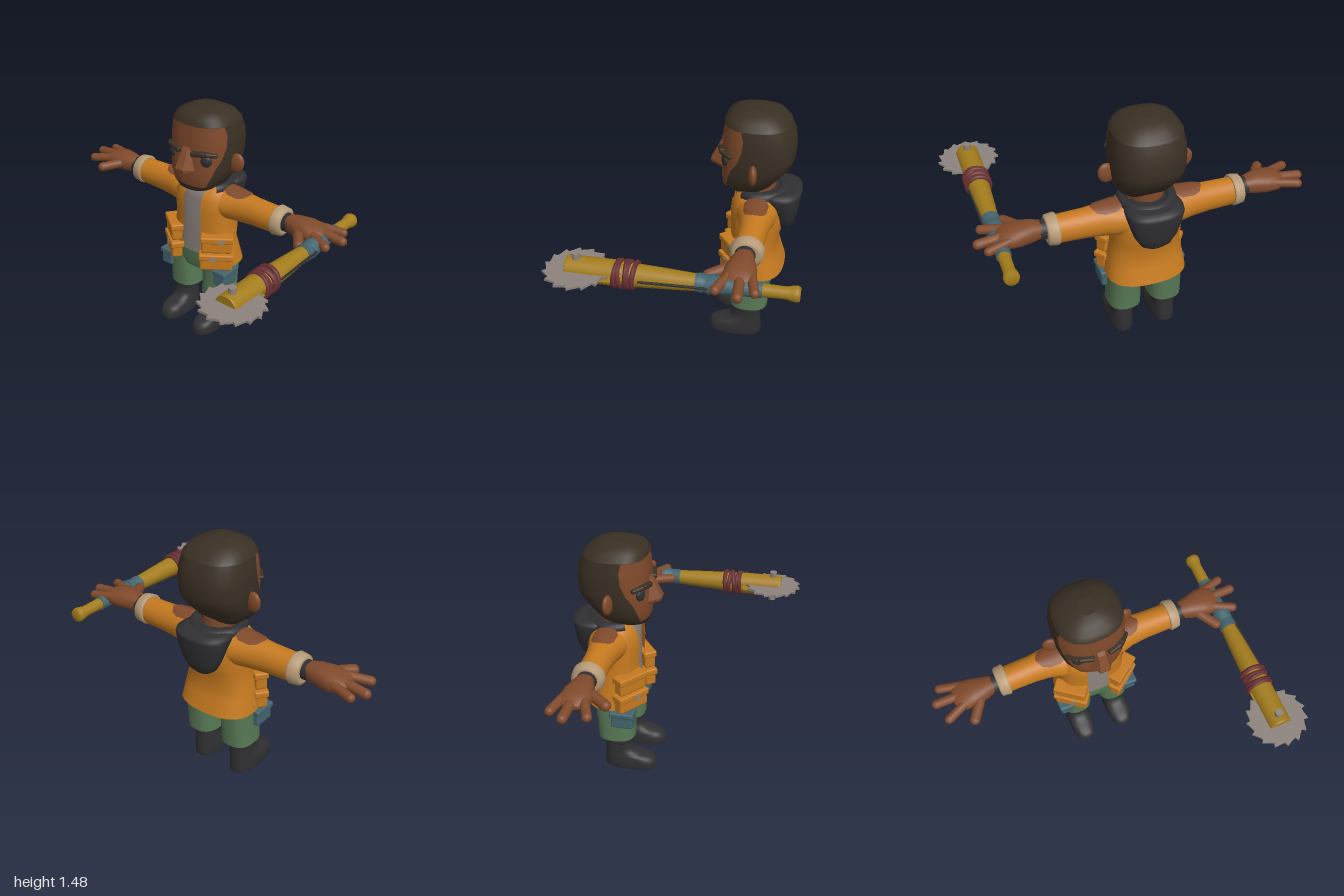
import * as THREE from 'three';
import { RoundedBoxGeometry } from 'three/addons/geometries/RoundedBoxGeometry.js';
import { ConvexGeometry } from 'three/addons/geometries/ConvexGeometry.js';

const material = (name, color, side = THREE.FrontSide) => {
  const m = new THREE.MeshStandardMaterial({ color, side });
  m.name = name;
  return m;
};
const V = (x, y, z) => new THREE.Vector3(x, y, z);
const curvePow = (v, p) => Math.sign(v) * Math.abs(v) ** p;

// Joins rounded cross-sections. Ring: [height, zFront, zBack, halfWidth, angle for the angles() rule]
function loft(rings, { p = 0.8, n = 36, open = false, angles = j => (j / n) * Math.PI * 2, paint = () => 0 } = {}) {
  const pos = [], sets = [[], []], cols = open ? n + 1 : n;
  const addRing = r => {
    for (let j = 0; j < cols; j++) {
      const a = angles(j, r);
      pos.push(r[3] * curvePow(Math.sin(a), p), r[0], (r[1] + r[2]) / 2 + ((r[1] - r[2]) / 2) * curvePow(Math.cos(a), p));
    }
  };
  rings.forEach(addRing);
  for (let i = 0; i < rings.length - 1; i++) for (let j = 0; j < n; j++) {
    const a = i * cols + j, b = i * cols + (j + 1) % cols, c = b + cols, d = a + cols;
    sets[paint(i, j)].push(a, b, c, a, c, d);
  }
  if (!open) [rings[0], rings[rings.length - 1]].forEach((r, top) => {
    const base = pos.length / 3;
    addRing(r);
    pos.push(0, r[0], (r[1] + r[2]) / 2);
    for (let j = 0; j < n; j++) {
      const k = base + (j + 1) % n;
      sets[0].push(base + n, top ? base + j : k, top ? k : base + j);
    }
  });
  const g = new THREE.BufferGeometry();
  g.setAttribute('position', new THREE.Float32BufferAttribute(pos, 3));
  g.setIndex([...sets[0], ...sets[1]]);
  g.addGroup(0, sets[0].length, 0);
  if (sets[1].length) g.addGroup(sets[0].length, sets[1].length, 1);
  g.computeVertexNormals();
  return g;
}

export function createModel() {
  const skin = material('skin', 0x804a2b), hair = material('hair', 0x3a3024), black = material('black', 0x303033);
  const orange = material('jacketOrange', 0xc67a1f, THREE.DoubleSide), green = material('trouserGreen', 0x587a56);
  const teal = material('teal', 0x44656f), grey = material('grey', 0x8d837e), gold = material('goldWood', 0xa37c1c);
  const maroon = material('ropeMaroon', 0x6a2f33), tan = material('cuffTan', 0xb59a76);

  const model = new THREE.Group();
  const body = new THREE.Group();
  body.name = 'body';
  body.position.x = -0.02;
  model.add(body);
  const add = (parent, name, geo, mat, x = 0, y = 0, z = 0, rx = 0, ry = 0, rz = 0) => {
    const m = new THREE.Mesh(geo, mat);
    m.name = name;
    m.position.set(x, y, z);
    m.rotation.set(rx, ry, rz);
    parent.add(m);
    return m;
  };
  const box = (w, h, d, r = 0.01) => new RoundedBoxGeometry(w, h, d, 2, r);
  const rod = (r, h, n = 24) => new THREE.CylinderGeometry(r, r, h, n);

  // Head: hair and beard wrap around a face area, fifth value is the face's half angle
  const headRings = [
    [0.975, -0.19, -0.36, 0.06, 0.8], [0.987, -0.15, -0.4, 0.115, 0.8], [1.02, -0.14, -0.43, 0.157, 0.8],
    [1.08, -0.135, -0.48, 0.188, 0.85], [1.15, -0.135, -0.54, 0.203, 0.95], [1.2, -0.138, -0.553, 0.206, 1.12],
    [1.27, -0.14, -0.556, 0.207, 1.25], [1.34, -0.142, -0.545, 0.202, 1.3], [1.395, -0.15, -0.52, 0.19, 1.25],
    [1.4, -0.145, -0.52, 0.192, 1.25], [1.437, -0.165, -0.485, 0.165, 1.25], [1.463, -0.21, -0.43, 0.11, 1.25],
    [1.476, -0.27, -0.37, 0.05, 1.25]];
  add(body, 'head', loft(headRings, {
    n: 40,
    angles: (j, r) => {
      const s = j <= 20 ? j : j - 40, k = Math.abs(s);
      return Math.sign(s) * (k <= 12 ? (r[4] * k) / 12 : r[4] + ((Math.PI - r[4]) * (k - 12)) / 8);
    },
    paint: (i, j) => (i >= 2 && i < 8 && (j < 12 || j >= 28) ? 1 : 0)
  }), [hair, skin]);
  add(body, 'neck', rod(0.1, 0.14), skin, 0, 0.97, -0.35);
  const nosePoints = [];
  for (const s of [-1, 1]) nosePoints.push(V(s * 0.024, 1.27, -0.15), V(s * 0.02, 1.24, -0.12), V(s * 0.066, 1.125, -0.14),
    V(s * 0.03, 1.14, -0.07), V(s * 0.03, 1.12, -0.075), V(s * 0.055, 1.105, -0.135), V(s * 0.055, 1.12, -0.17));
  add(body, 'nose', new ConvexGeometry(nosePoints), skin);

  // Torso
  add(body, 'shirt', loft([[0.49, -0.215, -0.45, 0.19], [0.63, -0.215, -0.45, 0.17], [0.9, -0.215, -0.47, 0.17],
    [0.95, -0.25, -0.45, 0.14], [0.975, -0.28, -0.43, 0.1]]), grey);
  add(body, 'jacket', loft([[0.455, -0.185, -0.528, 0.24, 0.3], [0.55, -0.19, -0.497, 0.225, 0.27], [0.63, -0.195, -0.477, 0.208, 0.25],
    [0.73, -0.2, -0.5, 0.2, 0.25], [0.83, -0.193, -0.515, 0.202, 0.25], [0.91, -0.2, -0.505, 0.2, 0.26],
    [0.955, -0.23, -0.475, 0.175, 0.32], [0.978, -0.265, -0.44, 0.125, 0.5]],
  { open: true, n: 44, angles: (j, r) => r[4] + (2 * Math.PI - 2 * r[4]) * (j / 44) }), orange);
  add(body, 'hips', loft([[0.4, -0.23, -0.46, 0.2], [0.45, -0.215, -0.468, 0.214], [0.525, -0.21, -0.46, 0.2]]), green);

  // Hood and collar
  add(body, 'hood', loft([[0.73, -0.47, -0.54, 0.05], [0.76, -0.45, -0.565, 0.09], [0.82, -0.43, -0.582, 0.125],
    [0.9, -0.4, -0.594, 0.15], [0.96, -0.37, -0.602, 0.165], [0.982, -0.36, -0.6, 0.16], [0.99, -0.38, -0.56, 0.13]]), black);
  const arc = Math.PI * 1.4;
  const collar = new THREE.TorusGeometry(0.135, 0.034, 10, 32, arc);
  collar.rotateZ(Math.PI / 2 + Math.PI - arc / 2).rotateX(Math.PI / 2);
  add(body, 'collar', collar, black, 0, 0.968, -0.36);

  // Everything that comes in pairs
  const sleeveRings = [[0.1, -0.235, -0.485, 0.105], [0.19, -0.25, -0.472, 0.1], [0.26, -0.272, -0.452, 0.096],
    [0.36, -0.282, -0.44, 0.088], [0.53, -0.283, -0.437, 0.082]];
  for (const s of [1, -1]) {
    const side = new THREE.Group();
    side.name = s > 0 ? 'leftSide' : 'rightSide';
    side.scale.x = s;
    body.add(side);

    // Face details
    add(side, 'ear', new THREE.SphereGeometry(1, 20, 14), skin, 0.222, 1.158, -0.335, 0, 0.15, -0.25).scale.set(0.05, 0.062, 0.024);
    add(side, 'eye', new THREE.SphereGeometry(1, 20, 14), black, 0.128, 1.195, -0.167, 0, 0.45, 0).scale.set(0.034, 0.036, 0.018);
    add(side, 'eyebrow', box(0.09, 0.03, 0.04), hair, 0.085, 1.238, -0.143, 0, 0.25, 0.12);
    add(side, 'eyebrowEnd', box(0.08, 0.026, 0.04), hair, 0.15, 1.238, -0.18, 0, 0.85, -0.15);

    // Arm
    const alongX = g => g.rotateZ(-Math.PI / 2);
    add(side, 'sleeve', alongX(loft(sleeveRings, { p: 1 })), orange, 0, 0.873, 0);
    const patchRings = [[0.15, 0.4], [0.19, 0.7], [0.26, 0.75], [0.3, 0.6], [0.325, 0.12]].map(([x, w]) => {
      const k = (x - 0.1) / 0.26;
      return [x, -0.235 - 0.047 * k, -0.485 + 0.045 * k, 0.115 - 0.017 * k, w];
    });
    add(side, 'shoulderPatch', alongX(loft(patchRings, { p: 1, n: 14, open: true, angles: (j, r) => -Math.PI / 2 + r[4] * (j / 7 - 1) })),
      skin, 0, 0.873, 0);
    add(side, 'cuff', alongX(loft([[0.515, -0.272, -0.448, 0.086], [0.525, -0.266, -0.454, 0.092], [0.572, -0.272, -0.448, 0.086],
      [0.58, -0.29, -0.43, 0.07]], { p: 1 })), tan, 0, 0.878, 0);
    add(side, 'wristband', alongX(rod(0.056, 0.05)), black, 0.592, 0.886, -0.355);
    add(side, 'palm', alongX(loft([[0.6, -0.305, -0.405, 0.048], [0.66, -0.285, -0.42, 0.06], [0.73, -0.268, -0.438, 0.062],
      [0.79, -0.265, -0.445, 0.05], [0.83, -0.285, -0.43, 0.035], [0.85, -0.32, -0.4, 0.015]], { p: 0.9 })), skin, 0, 0.892, 0);
    const finger = (name, a, b, r) => {
      const d = b.clone().sub(a), mid = a.clone().add(b).multiplyScalar(0.5);
      const m = add(side, name, new THREE.CapsuleGeometry(r, d.length(), 6, 14), skin, mid.x, mid.y, mid.z);
      m.quaternion.setFromUnitVectors(V(0, 1, 0), d.normalize());
    };
    finger('backFinger', V(0.76, 0.905, -0.41), V(0.905, 0.893, -0.448), 0.026);
    finger('middleFinger', V(0.78, 0.905, -0.36), V(0.948, 0.888, -0.367), 0.028);
    finger('frontFinger', V(0.77, 0.905, -0.31), V(0.91, 0.888, -0.25), 0.027);
    finger('thumb', V(0.7, 0.89, -0.3), V(0.775, 0.875, -0.193), 0.03);

    // Jacket pockets with flaps and small tags
    for (const [y, w] of [[0.632, 0.19], [0.51, 0.205]]) {
      const pocket = new THREE.Group();
      pocket.name = 'jacketPocket';
      pocket.position.set(0.172, y, -0.232);
      pocket.rotation.y = 0.65;
      side.add(pocket);
      add(pocket, 'pouch', box(w, 0.11, 0.07, 0.015), orange);
      add(pocket, 'flap', box(w + 0.012, 0.042, 0.086), orange, 0, 0.037, 0);
      if (s > 0 || y < 0.6) add(pocket, 'tag', new THREE.BoxGeometry(0.042, 0.024, 0.008), grey, y > 0.6 ? 0.03 : -0.02, 0.032, 0.043);
    }

    // Leg, thigh pouch and boot
    const leg = loft([[0.22, -0.222, -0.448, 0.1], [0.35, -0.218, -0.455, 0.099], [0.45, -0.215, -0.465, 0.1]]);
    add(side, 'trouserLeg', leg, green, 0.128, 0, 0);
    add(side, 'thighPouch', box(0.085, 0.1, 0.135, 0.012), teal, 0.215, 0.395, -0.272);
    add(side, 'pouchFlap', box(0.1, 0.036, 0.15), teal, 0.216, 0.437, -0.272);
    add(side, 'boot', loft([[0, -0.092, -0.412, 0.072], [0.015, -0.086, -0.416, 0.077], [0.05, -0.09, -0.415, 0.077],
      [0.075, -0.11, -0.413, 0.074], [0.092, -0.165, -0.412, 0.07], [0.108, -0.215, -0.41, 0.066],
      [0.14, -0.242, -0.407, 0.064], [0.22, -0.245, -0.4, 0.066]]), black, 0.135, 0, 0);
    add(side, 'bootCuff', loft([[0.178, -0.242, -0.405, 0.068], [0.184, -0.236, -0.41, 0.073], [0.212, -0.236, -0.41, 0.073],
      [0.222, -0.24, -0.405, 0.07]]), black, 0.135, 0, 0);
  }

  // Hand saw club lying along z
  const club = new THREE.Group();
  club.name = 'sawClub';
  club.position.set(0.815, 0.865, 0);
  model.add(club);
  const alongZ = g => g.rotateX(Math.PI / 2);
  const profile = [[0, -0.67], [0.036, -0.67], [0.043, -0.655], [0.042, -0.635], [0.033, -0.6], [0.036, -0.4], [0.046, -0.14],
    [0.055, 0.02], [0.066, 0.26], [0.066, 0.29], [0, 0.29]].map(([r, t]) => new THREE.Vector2(r, t));
  add(club, 'handle', alongZ(new THREE.LatheGeometry(profile, 24)), gold);
  const cut = Math.asin(0.022 / 0.068);
  const half = new THREE.Shape().absarc(0, 0, 0.066, cut, Math.PI - cut, false);
  half.closePath();
  for (const turn of [0, Math.PI]) {
    add(club, 'prong', new THREE.ExtrudeGeometry(half, { depth: 0.285, bevelSize: 0.003, bevelThickness: 0.008, bevelSegments: 1, curveSegments: 14 }),
      gold, 0, 0, 0.247, 0, 0, turn);
  }
  const teeth = 15, outline = [];
  for (let i = 0; i < teeth; i++) {
    for (const [r, k] of [[0.182, 0], [0.158, 0.12], [0.163, 0.5]]) {
      const a = ((i + k) / teeth) * Math.PI * 2;
      outline.push(new THREE.Vector2(r * Math.cos(a), r * Math.sin(a)));
    }
  }
  const blade = new THREE.ExtrudeGeometry(new THREE.Shape(outline), { depth: 0.014, bevelEnabled: false });
  add(club, 'sawBlade', alongZ(blade), grey, 0.003, 0.007, 0.487);
  add(club, 'axle', rod(0.022, 0.2), grey, 0, 0, 0.487);
  for (let i = 0; i < 5; i++) {
    add(club, 'ropeWrap', new THREE.TorusGeometry(0.068, 0.0135, 8, 28), maroon, 0, 0, 0.178 + i * 0.024, (i % 2 ? 1 : -1) * 0.1, i === 2 ? 0.15 : -0.05, 0);
  }
  add(club, 'gripTape', alongZ(new THREE.CylinderGeometry(0.049, 0.041, 0.34, 24)), teal, 0, 0, -0.31);
  add(club, 'tapeKnot', alongZ(rod(0.053, 0.05)), teal, 0, 0, -0.225, 0.2, 0, 0);
  add(club, 'tapeBand', alongZ(rod(0.051, 0.035)), teal, 0, 0, -0.165, -0.15, 0, 0);
  add(club, 'sideStrip', box(0.012, 0.012, 0.36, 0.003), black, 0.056, 0.005, -0.03, 0, 0.03, 0);
  return model;
}
